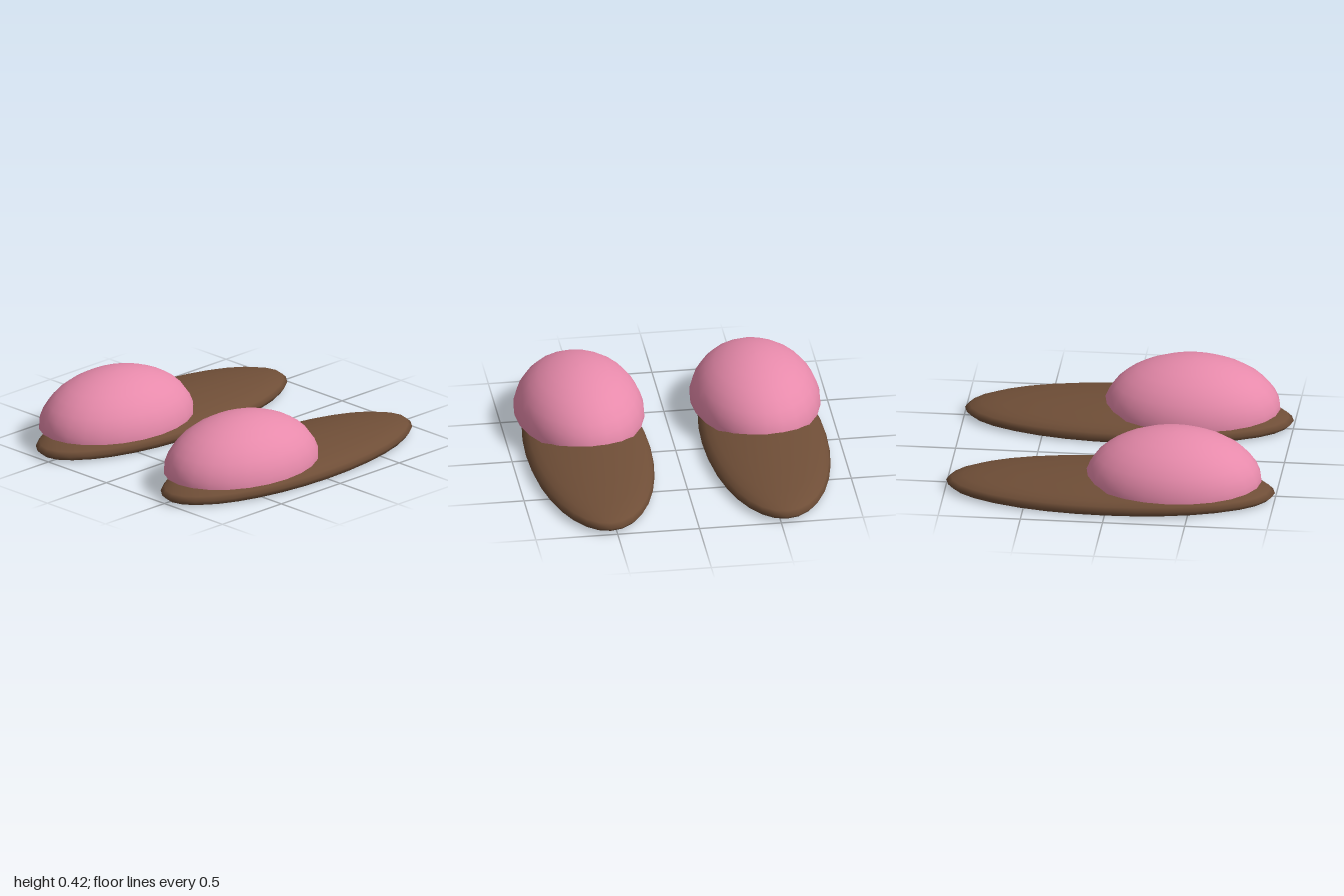
import * as THREE from 'three';

const soleBrown = new THREE.MeshStandardMaterial({ color: 0x6f4e37 });
soleBrown.name = 'soleBrown';
const upperPink = new THREE.MeshStandardMaterial({ color: 0xe78aab });
upperPink.name = 'upperPink';

// Oval solid: a turned profile of [radius fraction, height], stretched in x and z
function oval(name, profile, halfWidth, halfLength, segments, material) {
  const points = profile.map(([r, y]) => new THREE.Vector2(r, y));
  const geometry = new THREE.LatheGeometry(points, segments);
  geometry.scale(halfWidth, 1, halfLength);
  const mesh = new THREE.Mesh(geometry, material);
  mesh.name = name;
  return mesh;
}

// Flat underneath, rounded rim, gently crowned top
const soleProfile = [
  [0, 0], [0.93, 0], [0.97, 0.01], [1, 0.037], [0.97, 0.063], [0.9, 0.085],
  [0.8, 0.103], [0.6, 0.126], [0.3, 0.144], [0, 0.15],
];

// Closed base with a sharp rim (repeated point), then a soft dome
const upperProfile = [
  [0, 0.11], [1, 0.11], [1, 0.11], [0.995, 0.15], [0.95, 0.205], [0.88, 0.255],
  [0.77, 0.307], [0.63, 0.35], [0.46, 0.386], [0.28, 0.409], [0.12, 0.42], [0, 0.421],
];

function createSlipper(name, x) {
  const slipper = new THREE.Group();
  slipper.name = name;
  slipper.position.x = x;
  const sole = oval('sole', soleProfile, 0.38, 1, 32, soleBrown);
  const upper = oval('upper', upperProfile, 0.394, 0.533, 24, upperPink);
  upper.position.z = 0.385;
  slipper.add(sole, upper);
  return slipper;
}

export function createModel() {
  const model = new THREE.Group();
  model.name = 'slippers';
  model.add(createSlipper('leftSlipper', 0.536), createSlipper('rightSlipper', -0.54));
  return model;
}
